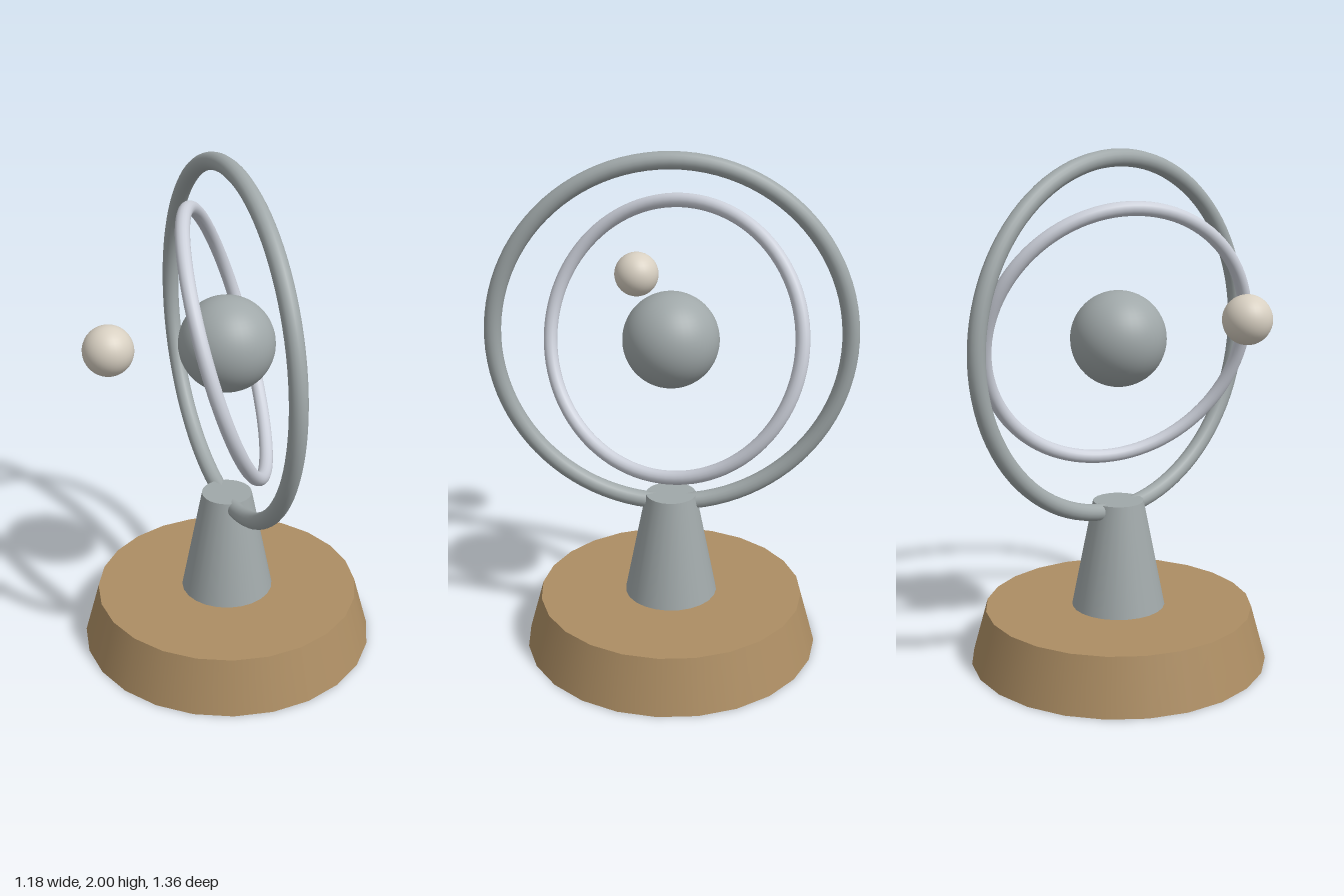
import * as THREE from 'three';

const CENTRE = 1.288;

export function createModel() {
  const group = new THREE.Group();
  const steel = new THREE.MeshStandardMaterial({ color: 0xa0a8a9 });
  const silver = new THREE.MeshStandardMaterial({ color: 0xccd0da });
  const wood = new THREE.MeshStandardMaterial({ color: 0xac8d63 });
  const ivory = new THREE.MeshStandardMaterial({ color: 0xd8d0c2 });

  function add(name, geometry, material, x, y, z) {
    const mesh = new THREE.Mesh(geometry, material);
    mesh.name = name;
    mesh.position.set(x, y, z);
    group.add(mesh);
    return mesh;
  }

  // A ring around the centre whose axis points along the given normal
  function addRing(name, radius, tube, material, normal) {
    const ring = add(name, new THREE.TorusGeometry(radius, tube, 16, 96), material, 0, CENTRE, 0);
    ring.quaternion.setFromUnitVectors(new THREE.Vector3(0, 0, 1), normal.normalize());
  }

  // Tapered base and pedestal
  add('base', new THREE.CylinderGeometry(0.53, 0.59, 0.216, 24), wood, 0, 0.108, 0);
  add('pedestal', new THREE.CylinderGeometry(0.1, 0.185, 0.43, 24), steel, 0, 0.43, 0);

  // Upright outer ring, turned 18 degrees, and tilted inner ring
  const turn = Math.PI / 10;
  const s = Math.sin(turn), c = Math.cos(turn);
  addRing('outerRing', 0.679, 0.033, steel, new THREE.Vector3(c, 0, -s));
  addRing('innerRing', 0.525, 0.027, silver, new THREE.Vector3(c, s * c, s * s));

  // Central globe and its small satellite
  add('globe', new THREE.SphereGeometry(0.185, 40, 28), steel, 0, CENTRE, 0);
  add('satellite', new THREE.SphereGeometry(0.092, 32, 20), ivory, -0.43, 1.4, 0.31);

  return group;
}
